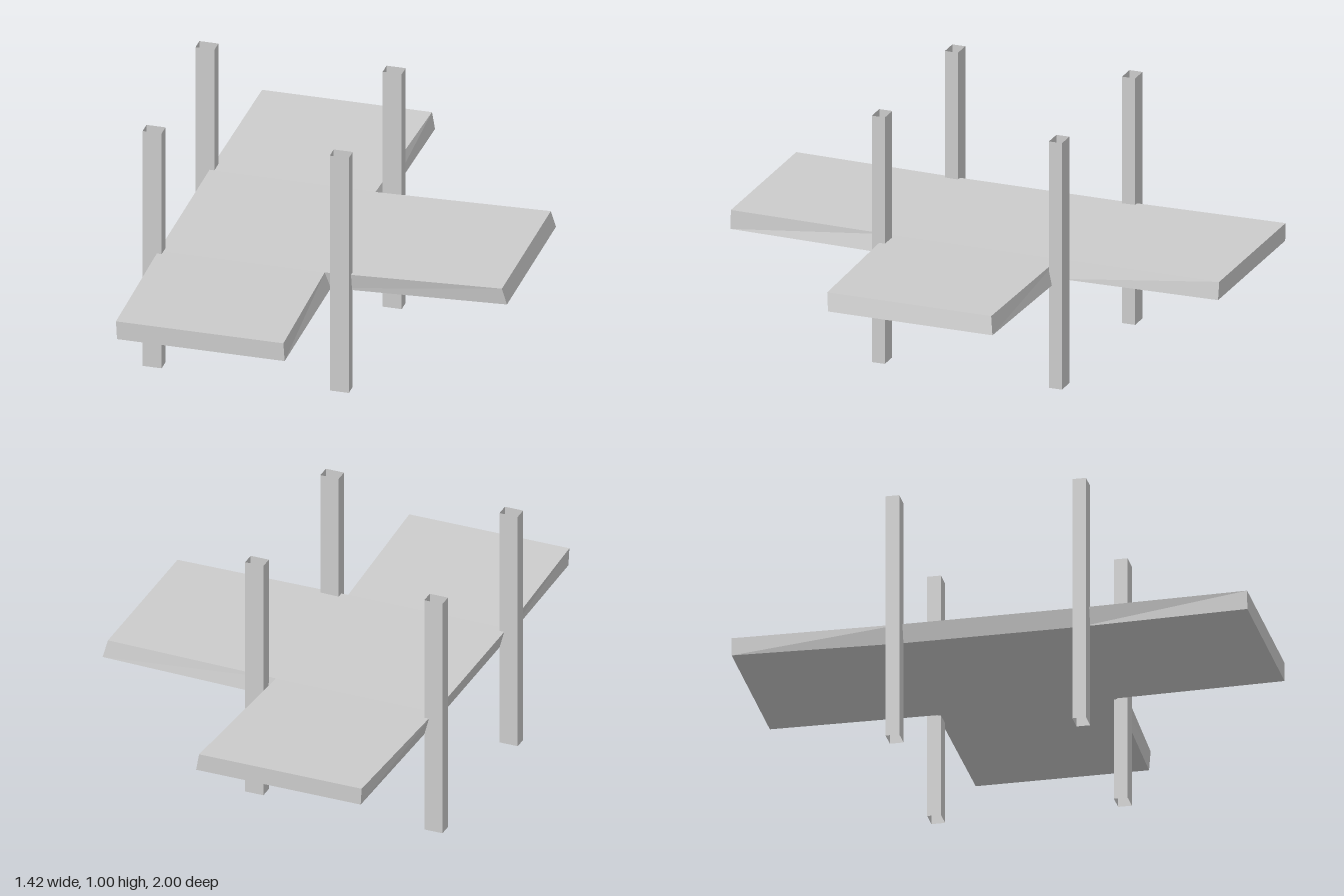
import * as THREE from 'three';

const material = new THREE.MeshStandardMaterial({ color: 0xcccccc, flatShading: true, side: THREE.DoubleSide });

// T-shaped slab: top and bottom outlines, counterclockwise from above
function slabGeometry() {
  const top = [
    [-0.64, 0.5, 1], [0.02, 0.5, 1], [0, 0.486, 0.365], [0.69, 0.5, 0.335], [0.69, 0.5, -0.335],
    [0, 0.486, -0.33], [0.03, 0.5, -1], [-0.64, 0.5, -1], [-0.655, 0.486, -0.33], [-0.655, 0.486, 0.365],
  ];
  const bottom = [
    [-0.636, 0.425, 1], [0.025, 0.425, 1], [0.02, 0.415, 0.35], [0.707, 0.43, 0.325], [0.707, 0.43, -0.347],
    [0.022, 0.415, -0.345], [0.042, 0.43, -1], [-0.636, 0.43, -1], [-0.636, 0.415, -0.345], [-0.636, 0.415, 0.35],
  ];
  const n = top.length;
  const positions = [];
  const quad = (a, b, c, d) => positions.push(...a, ...b, ...c, ...a, ...c, ...d);

  // Central panel and three wings, above and below
  for (const [a, b, c, d] of [[0, 1, 2, 9], [9, 2, 5, 8], [2, 3, 4, 5], [8, 5, 6, 7]]) {
    quad(top[a], top[b], top[c], top[d]);
    quad(bottom[d], bottom[c], bottom[b], bottom[a]);
  }
  // Slanted rim
  for (let i = 0; i < n; i++) {
    const j = (i + 1) % n;
    quad(bottom[i], bottom[j], top[j], top[i]);
  }
  const geometry = new THREE.BufferGeometry();
  geometry.setAttribute('position', new THREE.Float32BufferAttribute(positions, 3));
  geometry.computeVertexNormals();
  return geometry;
}

// Square post, open at both ends
function postGeometry(width, height, depth) {
  const geometry = new THREE.CylinderGeometry(Math.SQRT1_2, Math.SQRT1_2, 1, 4, 1, true);
  geometry.rotateY(Math.PI / 4);
  geometry.scale(width, height, depth);
  geometry.translate(0, height / 2, 0);
  return geometry;
}

export function createModel() {
  const model = new THREE.Group();
  model.name = 'platformWithPosts';

  const slab = new THREE.Mesh(slabGeometry(), material);
  slab.name = 'platform';
  model.add(slab);

  const post = postGeometry(0.075, 1, 0.053);
  for (const [xName, x] of [['Right', -0.673], ['Left', 0.065]]) {
    for (const [zName, z] of [['front', 0.364], ['back', -0.36]]) {
      const mesh = new THREE.Mesh(post, material);
      mesh.name = `${zName}${xName}Post`;
      mesh.position.set(x, 0, z);
      model.add(mesh);
    }
  }
  return model;
}
